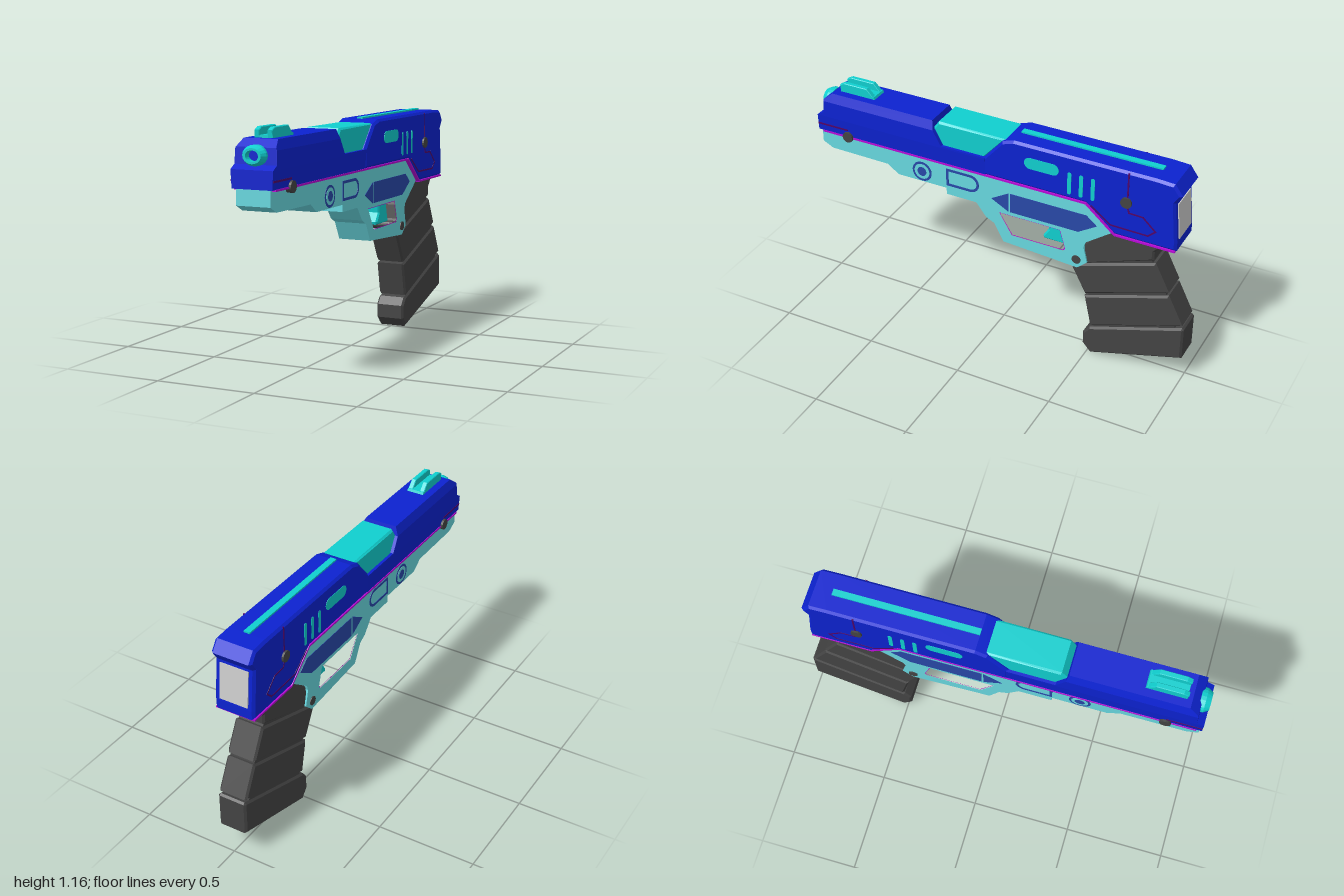
import * as THREE from 'three';

const mat = (color) => new THREE.MeshStandardMaterial({ color, flatShading: true });
const BLUE = mat(0x0c22d0), TEAL = mat(0x10cfcf), CYAN = mat(0x68d8e0), NAVY = mat(0x2848a8);
const DARK = mat(0x444444), MAGENTA = mat(0xb80ad6), PURPLE = mat(0x500468), GREY = mat(0xcccccc);

const toShape = (pts) => new THREE.Shape(pts.map(([z, y]) => new THREE.Vector2(z, y)));

export function createModel() {
  const model = new THREE.Group();

  const add = (name, geometry, material, parent = model) => {
    const mesh = new THREE.Mesh(geometry, material);
    mesh.name = name;
    parent.add(mesh);
    return mesh;
  };

  // Side profile in (z, y), extruded across x and centred on x = cx
  const prism = (name, profile, half, material, bevel = 0, hole = null, cx = 0) => {
    const shape = Array.isArray(profile) ? toShape(profile) : profile;
    if (hole) shape.holes.push(new THREE.Path(hole.map(([z, y]) => new THREE.Vector2(z, y))));
    const geo = new THREE.ExtrudeGeometry(shape, {
      depth: 2 * (half - bevel), bevelEnabled: bevel > 0, bevelSize: bevel,
      bevelThickness: bevel, bevelOffset: -bevel, bevelSegments: 1, curveSegments: 10,
    });
    geo.translate(0, 0, bevel - half);
    geo.rotateY(-Math.PI / 2);
    geo.translate(cx, 0, 0);
    return add(name, geo, material);
  };

  // Thin inlaid line along a (z, y) path, showing on both flanks
  const line = (name, pts, width, half, material) => {
    for (let i = 0; i < pts.length - 1; i++) {
      const [z0, y0] = pts[i], [z1, y1] = pts[i + 1];
      const geo = new THREE.BoxGeometry(2 * half, width, Math.hypot(z1 - z0, y1 - y0) + width * 0.8);
      geo.rotateX(-Math.atan2(y1 - y0, z1 - z0));
      geo.translate(0, (y0 + y1) / 2, (z0 + z1) / 2);
      add(name, geo, material);
    }
  };

  // Rounded slot outline centred on (z, y)
  const slot = (z, y, w, h) => {
    const r = Math.min(w, h) / 2, dz = w / 2 - r, dy = h / 2 - r, s = new THREE.Shape();
    s.absarc(z + dz, y + dy, r, 0, Math.PI / 2);
    s.absarc(z - dz, y + dy, r, Math.PI / 2, Math.PI);
    s.absarc(z - dz, y - dy, r, Math.PI, Math.PI * 1.5);
    s.absarc(z + dz, y - dy, r, Math.PI * 1.5, Math.PI * 2);
    return s;
  };

  // Cross-pin through the body
  const pin = (name, z, y, r, half, material, sides = 16) => {
    const geo = new THREE.CylinderGeometry(r, r, 2 * half, sides).rotateZ(Math.PI / 2);
    geo.translate(0, y, z);
    return add(name, geo, material);
  };

  // Front slide: one cross-section, its top cut to a height at each station
  const levels = [[0.905, 0.1], [0.99, 0.105], [1.075, 0.103], [1.12, 0.085]];
  const halfWidth = (y) => {
    for (let i = 1; i < levels.length; i++) {
      const [y0, w0] = levels[i - 1], [y1, w1] = levels[i];
      if (y <= y1) return w0 + (w1 - w0) * (y - y0) / (y1 - y0);
    }
    return levels[3][1];
  };
  const stations = [[1, 0.99], [0.965, 1.01], [0.96, 1.085], [0.915, 1.12], [0.345, 1.12],
    [0.335, 1.075], [0.29, 1.0], [0.05, 1.0]];
  const rings = stations.map(([z, top]) => {
    const right = levels.map(([y]) => Math.min(y, top)).map((y) => [halfWidth(y), y, z]);
    return [...right, ...right.map(([x, y]) => [-x, y, z]).reverse()];
  });
  const tris = [], n = 8, last = rings.length - 1;
  for (let i = 0; i < last; i++) {
    for (let j = 0; j < n; j++) {
      const k = (j + 1) % n;
      const a = rings[i][j], b = rings[i][k], c = rings[i + 1][k], d = rings[i + 1][j];
      tris.push(a, d, c, a, c, b);
    }
  }
  for (let j = 1; j < n - 1; j++) {
    tris.push(rings[0][0], rings[0][j], rings[0][j + 1]);
    tris.push(rings[last][0], rings[last][j + 1], rings[last][j]);
  }
  const slideGeo = new THREE.BufferGeometry();
  slideGeo.setAttribute('position', new THREE.Float32BufferAttribute(tris.flat(), 3));
  slideGeo.computeVertexNormals();
  add('slideFront', slideGeo, BLUE);

  // Rear slide with notched back and dropped lower corner
  prism('slideRear', [[0.06, 0.905], [-0.48, 0.905], [-0.63, 0.775], [-0.94, 0.775], [-0.94, 0.82],
    [-0.92, 1.03], [-0.95, 1.075], [-0.91, 1.13], [-0.82, 1.135], [-0.1, 1.135], [-0.04, 1.115],
    [0.06, 1.0]], 0.105, BLUE, 0.012);
  const plate = add('backPlate', new THREE.BoxGeometry(0.15, 0.185, 0.012), GREY);
  plate.position.set(0, 0.925, -0.929);
  plate.rotation.x = 0.095;

  // Ejection block and top rib
  prism('ejectionBlock', [[0.34, 1.08], [0.29, 0.99], [0.06, 0.99], [-0.05, 1.12], [0.31, 1.122]], 0.09, TEAL, 0.01);
  add('topRib', new THREE.BoxGeometry(0.032, 0.03, 0.72), TEAL).position.set(0, 1.128, -0.46);

  // Slide cut-outs
  prism('slideSlot', slot(-0.25, 1.04, 0.18, 0.06), 0.107, TEAL);
  for (const z of [-0.395, -0.455, -0.515]) {
    prism('slideSerration', slot(z, 0.99, 0.02, 0.12), 0.107, TEAL);
  }

  // Panel lines
  line('panelLine', [[-0.69, 1.125], [-0.69, 0.99]], 0.008, 0.1065, PURPLE);
  line('panelLine', [[-0.69, 0.95], [-0.7, 0.918], [-0.77, 0.915], [-0.835, 0.855], [-0.8, 0.822],
    [-0.61, 0.825], [-0.51, 0.9]], 0.008, 0.1065, PURPLE);
  line('panelLine', [[0.995, 0.942], [0.83, 0.942]], 0.009, 0.1045, PURPLE);

  // Coloured underside of the slide
  line('slideTrim', [[0.97, 0.902], [-0.48, 0.902], [-0.632, 0.771], [-0.93, 0.771]], 0.009, 0.104, MAGENTA);

  // Muzzle ring and bore
  const muzzle = new THREE.Group();
  muzzle.name = 'muzzle';
  muzzle.position.set(0, 1.05, 0.95);
  muzzle.scale.y = 0.78;
  model.add(muzzle);
  const ringProfile = [[0.032, 0], [0.06, 0], [0.06, 0.025], [0.045, 0.05], [0.032, 0.05], [0.032, 0]]
    .map(([r, h]) => new THREE.Vector2(r, h));
  add('muzzleRing', new THREE.LatheGeometry(ringProfile, 20).rotateX(Math.PI / 2), TEAL, muzzle);
  add('muzzleBore', new THREE.CylinderGeometry(0.033, 0.033, 0.03, 20).rotateX(Math.PI / 2), BLUE, muzzle);

  // Sight: base with two rails
  prism('sightBase', [[0.89, 1.11], [0.69, 1.11], [0.7, 1.132], [0.89, 1.132]], 0.045, TEAL);
  for (const s of [1, -1]) {
    prism('sightRail', [[0.89, 1.115], [0.895, 1.155], [0.87, 1.168], [0.74, 1.168], [0.69, 1.115]],
      0.0125, TEAL, 0.003, null, s * 0.0325);
  }

  // Lower frame with trigger guard opening
  const guardHole = [[-0.015, 0.7], [-0.085, 0.585], [-0.365, 0.585], [-0.375, 0.6], [-0.345, 0.7]];
  prism('frame', [[0.99, 0.905], [0.99, 0.83], [0.935, 0.802], [0.61, 0.798], [0.55, 0.755], [0.275, 0.755],
    [0.275, 0.72], [0.11, 0.72], [0.055, 0.65], [0.01, 0.628], [-0.04, 0.535], [-0.44, 0.51],
    [-0.49, 0.555], [-0.47, 0.64], [-0.48, 0.67], [-0.63, 0.78], [-0.48, 0.905]], 0.085, CYAN, 0, guardHole);
  const inner = guardHole.map(([z, y]) => [-0.2 + (z + 0.2) * 0.975, 0.64 + (y - 0.64) * 0.94]);
  prism('guardLining', guardHole, 0.082, MAGENTA, 0, inner);
  prism('trigger', [[-0.225, 0.705], [-0.255, 0.68], [-0.26, 0.645], [-0.23, 0.6], [-0.235, 0.585],
    [-0.375, 0.585], [-0.345, 0.705]], 0.035, TEAL, 0.008);

  // Frame inlays: pointed panel, ring, rounded outline
  prism('framePanelTip', [[0.025, 0.77], [-0.068, 0.825], [-0.068, 0.72]], 0.087, NAVY);
  prism('framePanel', [[-0.078, 0.825], [-0.48, 0.825], [-0.535, 0.78], [-0.44, 0.72], [-0.078, 0.72]], 0.087, NAVY);
  pin('inlayRing', 0.412, 0.812, 0.054, 0.0865, NAVY, 24);
  pin('inlayRingField', 0.412, 0.812, 0.042, 0.0875, CYAN, 24);
  pin('inlayRingDot', 0.412, 0.812, 0.025, 0.0885, NAVY, 20);
  const outline = (g) => {
    const s = new THREE.Shape();
    s.moveTo(0.275 - g, 0.772 + g);
    s.lineTo(0.275 - g, 0.868 - g);
    s.lineTo(0.142, 0.868 - g);
    s.absarc(0.142, 0.82, 0.048 - g, Math.PI / 2, Math.PI * 1.5);
    return s;
  };
  prism('inlayOutline', outline(0), 0.087, NAVY, 0, outline(0.013).getPoints(12).map((p) => [p.x, p.y]));

  // Cross-pins
  pin('rearPin', -0.685, 0.972, 0.028, 0.115, DARK);
  pin('frontPin', 0.825, 0.905, 0.028, 0.113, DARK);
  pin('guardPin', -0.435, 0.557, 0.023, 0.09, DARK);

  // Grip: four slanted blocks over a narrower core
  const gripBlocks = [
    [[-0.6, 0.79], [-0.47, 0.66], [-0.45, 0.53], [-0.825, 0.668], [-0.825, 0.715], [-0.885, 0.79]],
    [[-0.4, 0.51], [-0.48, 0.358], [-0.91, 0.508], [-0.835, 0.655]],
    [[-0.478, 0.345], [-0.515, 0.172], [-0.99, 0.337], [-0.912, 0.492]],
    [[-0.51, 0.16], [-0.478, 0.12], [-0.478, 0.05], [-0.52, 0.003], [-1, 0.145], [-1, 0.315], [-0.99, 0.324]],
  ];
  for (const block of gripBlocks) prism('gripBlock', block, 0.076, DARK, 0.01);
  prism('gripCore', [[-0.5, 0.7], [-0.43, 0.51], [-0.5, 0.35], [-0.54, 0.13], [-0.97, 0.26], [-0.895, 0.5],
    [-0.815, 0.66], [-0.81, 0.74]], 0.066, DARK);

  return model;
}
